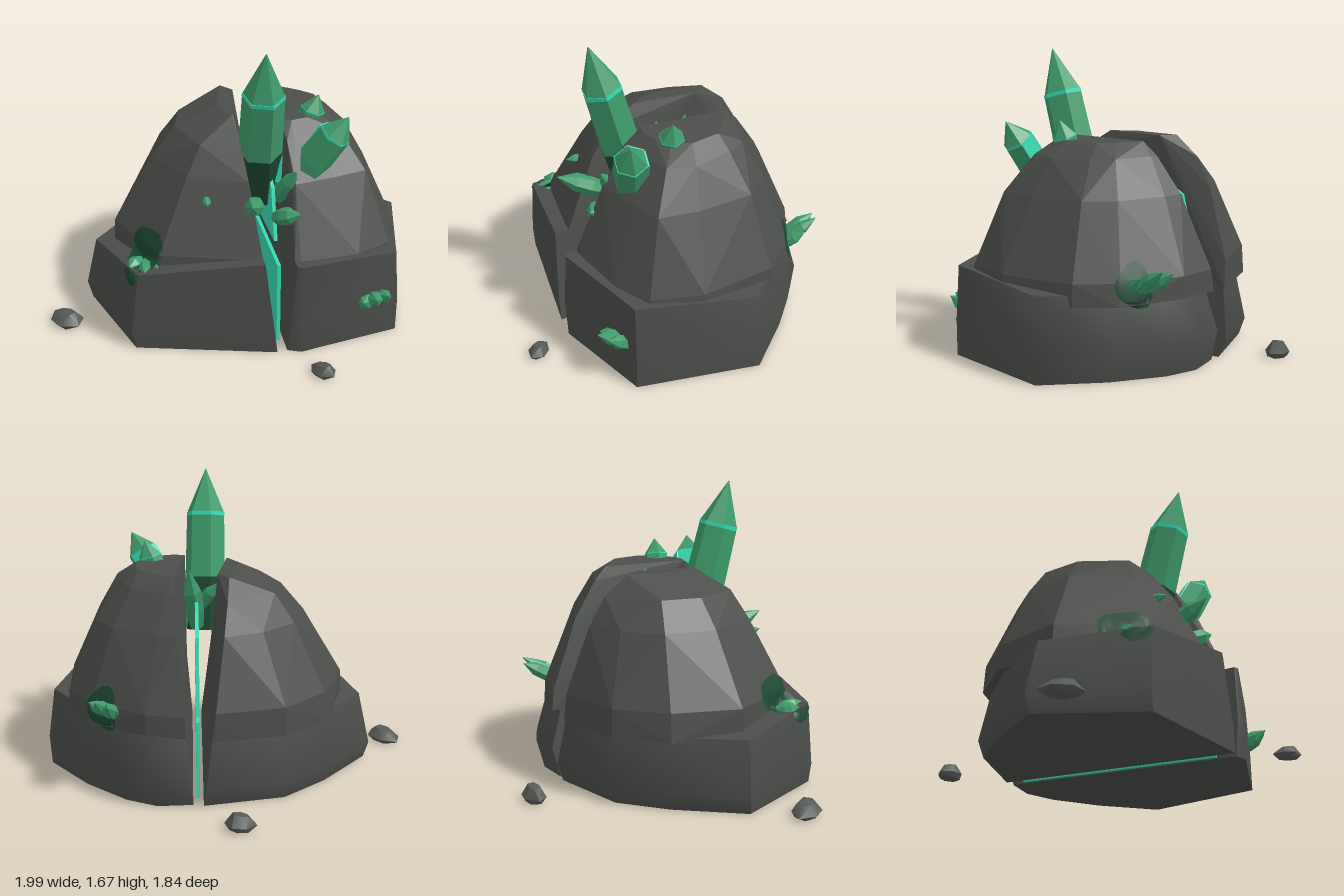
import * as THREE from 'three';
import { ConvexGeometry } from 'three/addons/geometries/ConvexGeometry.js';
import { toCreasedNormals } from 'three/addons/utils/BufferGeometryUtils.js';

const V = (a) => new THREE.Vector3(...a);
const mat = (name, color, extra = {}) => {
  const m = new THREE.MeshStandardMaterial({ color, ...extra });
  m.name = name;
  return m;
};

export function createModel() {
  const model = new THREE.Group();
  model.name = 'splitCrystalBoulder';
  const rock = mat('rock', 0x4b4e4b);
  const pebbleRock = mat('pebbleRock', 0x565a56);
  const crystalGreen = mat('crystalGreen', 0x3f9c6c);
  const darkGreen = mat('darkGreen', 0x1d4632, { side: THREE.DoubleSide });
  const glow = mat('glow', 0x36dcb4);

  const add = (name, geometry, material, parent = model) => {
    const mesh = new THREE.Mesh(geometry, material);
    mesh.name = name;
    parent.add(mesh);
    return mesh;
  };

  // Rock chunk: an [x, z] outline shrunk level by level [height, x scale, z scale],
  // closed by the slanted crack wall
  const rocks = [];
  const crackX = (y, z, side) => 0.18 + 0.26 * z + side * (0.03 + (side < 0 ? 0.13 : 0.085) * y);
  const chunk = (name, side, outline, wallEnds, levels, { tilt = () => 1, centreZ = 0, wobble = 0, crease = 0.05 }) => {
    const points = [];
    levels.forEach(([h, sx, sz = sx], level) => {
      outline.forEach(([x, z], i) => {
        const k = 1 + wobble * level * Math.sin(i * 2.4 + level * 2);
        const px = 0.18 + (x - 0.18) * k * sx;
        const pz = centreZ + (z - centreZ) * k * sz;
        points.push(V([px, h * tilt(px, pz), pz]));
      });
      wallEnds.forEach((end) => {
        const z = centreZ + (end - centreZ) * sz;
        const y = h * tilt(crackX(0, z, side), z);
        points.push(V([crackX(y, z, side), y, z]));
      });
    });
    rocks.push(add(name, toCreasedNormals(new ConvexGeometry(points), crease), rock));
  };

  const leftFoot = [[-0.83, 0.2], [-0.64, -0.2], [-0.45, -0.47], [-0.48, 0.71]];
  const rightFoot = [[0.23, -0.75], [0.42, -0.71], [0.7, -0.56], [1, -0.32], [0.99, 0.4], [0.46, 0.68]];
  const leftSkirt = [[-0.65, 0.22], [-0.63, -0.18], [-0.44, -0.46], [-0.34, 0.61]];
  const rightSkirt = [[0.3, -0.68], [0.66, -0.57], [0.84, -0.4], [0.97, 0.02], [0.95, 0.32], [0.76, 0.46], [0.45, 0.61]];
  chunk('leftBase', -1, leftFoot, [-0.68, 0.69], [[0, 0.97], [0.25, 1], [1, 0.93, 0.95]],
    { tilt: (x, z) => 0.48 + 0.12 * x + 0.06 * z, centreZ: 0.5, crease: 0.95 });
  chunk('rightBase', 1, rightFoot, [-0.69, 0.67], [[0, 1, 0.96], [0.4, 1], [1, 0.97, 0.93]],
    { tilt: (x, z) => 0.5 - 0.02 * x + 0.07 * z, centreZ: 0.4, crease: 0.95 });
  chunk('leftDome', -1, leftSkirt, [-0.64, 0.62],
    [[0.38, 1], [0.54, 0.98], [0.93, 0.74], [1.09, 0.58], [1.2, 0.28, 0.34]], { centreZ: -0.07, wobble: 0.012 });
  chunk('rightDome', 1, rightSkirt, [-0.68, 0.61],
    [[0.4, 1], [0.52, 0.98], [0.92, 0.76, 0.73], [1.12, 0.58, 0.52], [1.195, 0.44, 0.38]], { centreZ: -0.06, wobble: 0.012 });

  // Glowing vein standing in the crack: outlines of [distance along crack, height]
  const vein = (name, outline) => {
    const mesh = add(name, new THREE.ExtrudeGeometry(
      new THREE.Shape(outline.map(([s, y]) => new THREE.Vector2(s, y))),
      { depth: 0.02, bevelEnabled: false }).translate(0, 0, -0.01), glow);
    mesh.position.x = 0.18;
    mesh.rotation.y = -Math.atan2(1, 0.26);
  };
  vein('lowerVein', [[-0.58, 0], [0.585, 0], [0.57, 0.48], [-0.55, 0.44]]);
  vein('upperVein', [[-0.56, 0.48], [0.47, 0.58], [0.37, 0.86], [0.1, 0.97], [-0.3, 1], [-0.46, 0.9]]);

  // Dark stains laid onto the rock surface
  const ray = new THREE.Raycaster();
  const stain = (name, centre, out, rx, ry) => {
    const dir = V(out).normalize();
    const geo = new THREE.RingGeometry(0.002, 1, 14, 8);
    const q = new THREE.Quaternion().setFromUnitVectors(V([0, 0, 1]), dir);
    const p = geo.attributes.position;
    for (let i = 0; i < p.count; i++) {
      const wobble = 1 + 0.12 * Math.sin(3 * Math.atan2(p.getY(i), p.getX(i)));
      const from = V([p.getX(i) * rx * wobble, p.getY(i) * ry * wobble, 0.8])
        .applyQuaternion(q).add(V(centre));
      ray.set(from, dir.clone().negate());
      const hit = ray.intersectObjects(rocks)[0];
      const at = hit ? hit.point : from.addScaledVector(dir, -0.8);
      at.addScaledVector(dir, 0.006);
      p.setXYZ(i, at.x, at.y, at.z);
    }
    geo.computeVertexNormals();
    add(name, geo, darkGreen);
  };
  stain('frontStain', [-0.41, 0.5, 0.5], [-0.5, 0.25, 0.8], 0.13, 0.15);
  stain('backStain', [0.57, 0.5, -0.58], [0.45, 0.4, -0.8], 0.12, 0.1);

  // Six-sided crystal from base to tip, with optional dark root, glowing ring
  // and glowing facets facing the given directions
  const crystal = (name, base, tip, r, { cap = 0.65, ring = false, dark = false, facets = [], root = 0.7 } = {}) => {
    const g = new THREE.Group();
    g.name = name;
    const axis = V(tip).sub(V(base));
    const len = axis.length();
    const section = (part, r0, r1, a, b, m) => {
      const geo = new THREE.CylinderGeometry(r1, r0, (b - a) * len, 6, 1, false, Math.PI / 6).toNonIndexed();
      geo.computeVertexNormals();
      add(part, geo.translate(0, (a + b) * len / 2, 0), m, g);
    };
    section('root', r * root, r, 0, 0.33, dark ? darkGreen : crystalGreen);
    section('shaft', r, r * 0.94, 0.33, cap, crystalGreen);
    section('point', r * 0.94, 0.002, cap + (ring ? 0.012 : 0), 1, crystalGreen);
    if (ring) section('glowRing', r * 0.95, r * 0.95, cap - 0.006, cap + 0.018, glow);
    g.position.copy(V(base));
    g.quaternion.setFromUnitVectors(V([0, 1, 0]), axis.normalize());
    facets.forEach((direction) => {
      const d = V(direction).applyQuaternion(g.quaternion.clone().invert());
      const a = Math.round(Math.atan2(d.x, d.z) / (Math.PI / 3)) * Math.PI / 3;
      const plate = add('glowFacet', new THREE.BoxGeometry(r * 0.94, (cap - 0.25) * len, 0.009), glow, g);
      plate.position.set(Math.sin(a) * r * 0.855, (0.25 + cap) / 2 * len, Math.cos(a) * r * 0.855);
      plate.rotation.y = a;
    });
    model.add(g);
  };

  // Large crystals on top
  crystal('mainCrystal', [0.18, 0.74, 0.2], [0.23, 1.67, 0.45], 0.122, { cap: 0.715, ring: true, dark: true, root: 0.92 });
  crystal('sideCrystal', [0.41, 0.88, 0.28], [0.67, 1.285, 0.335], 0.098,
    { cap: 0.72, ring: true, root: 0.9, facets: [[-0.45, 0.45, -0.75], [0.4, -0.15, -0.9]] });
  crystal('topCrystal', [0.43, 1.07, 0.065], [0.505, 1.3, 0.07], 0.075, { cap: 0.6, ring: true });

  // Small crystals inside and around the crack
  crystal('backCrackCrystal', [0.2, 0.8, 0.08], [0.2, 1.18, -0.09], 0.06);
  crystal('innerCrackCrystal', [0.27, 0.75, 0.22], [0.35, 1.16, 0.24], 0.05, { facets: [[0.4, 0, 0.8], [1, 0, 0]] });
  crystal('rightCrackCrystal', [0.3, 0.77, 0.31], [0.4, 1, 0.44], 0.05);
  crystal('leftCrackCrystal', [0.2, 0.9, 0.1], [0.06, 1.08, 0.04], 0.04);
  crystal('frontCrackCrystal', [0.18, 0.75, 0.36], [0.18, 0.88, 0.64], 0.055);
  crystal('lowCrackCrystal', [0.29, 0.71, 0.42], [0.43, 0.78, 0.51], 0.05);
  crystal('tinyCrystal', [-0.09, 0.82, 0.42], [-0.07, 0.83, 0.54], 0.025);

  // Fans of three crystals growing from the flanks
  const cluster = (name, base, out, spread, r) => [-1, 0, 1].forEach((i) => {
    const root = V(base).addScaledVector(V(spread), i * 0.4);
    const tip = V(base).addScaledVector(V(out), 1 - 0.2 * Math.abs(i)).addScaledVector(V(spread), i);
    crystal(name, root.toArray(), tip.toArray(), r * (1 - 0.1 * i));
  });
  cluster('frontClusterCrystal', [-0.42, 0.44, 0.51], [0.02, 0.03, 0.17], [0.09, -0.005, 0.03], 0.039);
  cluster('rightClusterCrystal', [0.85, 0.21, 0.4], [0.015, 0.09, 0.18], [0.07, 0.02, -0.01], 0.045);
  cluster('backClusterCrystal', [0.54, 0.46, -0.55], [0.01, 0.14, -0.21], [0.07, -0.01, 0.05], 0.039);

  // Loose pebbles: squashed hulls of irregular rings
  const pebble = (x, z, rx, rz, h, turn) => {
    const pts = [];
    [[0, 0.75], [0.35, 1], [1, 0.5]].forEach(([y, s], row) => {
      for (let i = 0; i < 6; i++) {
        const a = i * Math.PI / 3 + row * 0.3;
        const k = s * (1 + 0.12 * Math.sin(i * 2.3 + row));
        pts.push(V([Math.cos(a) * rx * k, h * y * (0.9 + 0.1 * Math.cos(a)), Math.sin(a) * rz * k]));
      }
    });
    const m = add('pebble', toCreasedNormals(new ConvexGeometry(pts), 0.8), pebbleRock);
    m.position.set(x, 0, z);
    m.rotation.y = turn;
  };
  pebble(-0.9, 0.49, 0.108, 0.088, 0.08, -0.5);
  pebble(0.58, 0.86, 0.075, 0.06, 0.07, -0.5);
  pebble(-0.27, -0.86, 0.08, 0.07, 0.095, 0.4);

  return model;
}
